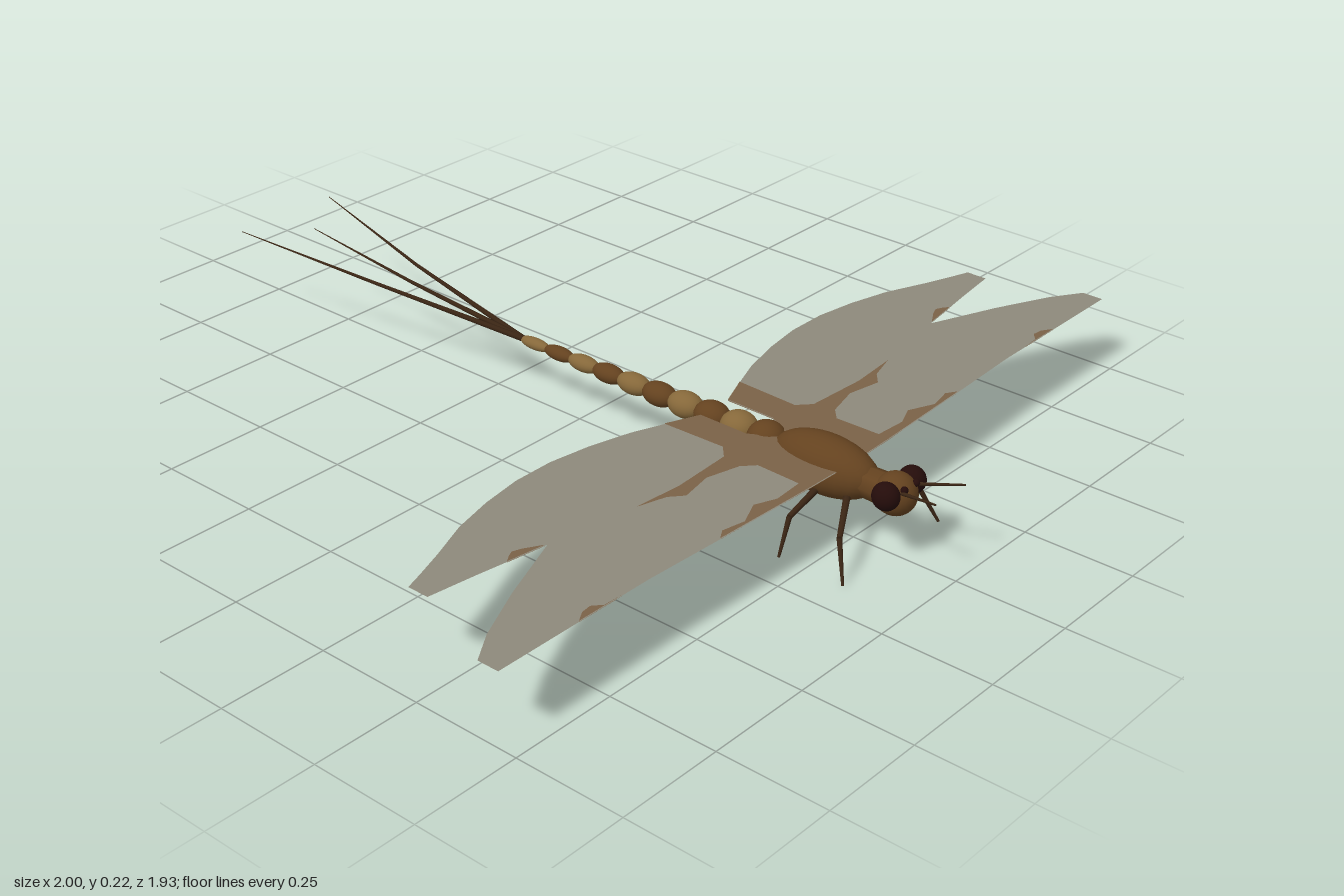
import * as THREE from 'three';

const mat = (name, color, side = THREE.FrontSide) => {
  const m = new THREE.MeshStandardMaterial({ color, side });
  m.name = name;
  return m;
};

export function createModel() {
  const model = new THREE.Group();
  model.name = 'mayfly';
  const brown = mat('body brown', 0x64421f);
  const tan = mat('abdomen tan', 0x86683a);
  const dark = mat('leg dark brown', 0x3a2514);
  const eyeMat = mat('eye dark red', 0x240c0a);
  const wingMat = mat('wing grey', 0x8d897b, THREE.DoubleSide);
  const patchMat = mat('wing patch brown', 0x7a6147, THREE.DoubleSide);
  const V = (x, y, z) => new THREE.Vector3(x, y, z);

  const add = (name, geo, m, parent = model) => {
    const mesh = new THREE.Mesh(geo, m);
    mesh.name = name;
    parent.add(mesh);
    return mesh;
  };
  const ball = (name, m, p, r) => {
    const mesh = add(name, new THREE.SphereGeometry(1, 24, 16), m);
    mesh.position.set(...p);
    mesh.scale.set(...r);
    return mesh;
  };
  // Tapered rod between two points
  const rod = (name, a, b, ra, rb, m = dark) => {
    const d = b.clone().sub(a);
    const mesh = add(name, new THREE.CylinderGeometry(rb, ra, d.length(), 8), m);
    mesh.position.copy(a).addScaledVector(d, 0.5);
    mesh.quaternion.setFromUnitVectors(V(0, 1, 0), d.normalize());
  };
  // Flat shape in the horizontal plane, points given as [x, z]
  const flat = (name, pts, y, m, s) => {
    const geo = new THREE.ShapeGeometry(new THREE.Shape(pts.map(([x, z]) => new THREE.Vector2(s * x, -z))));
    geo.rotateX(-Math.PI / 2);
    add(name, geo, m).position.y = y;
  };

  // Thorax, neck and head
  ball('thorax', brown, [0, 0.142, 0.672], [0.062, 0.064, 0.128]);
  rod('neck', V(0, 0.14, 0.76), V(0, 0.14, 0.84), 0.034, 0.036, brown);
  ball('head', brown, [0, 0.14, 0.845], [0.045, 0.046, 0.046]);

  // Bead-like abdomen, shrinking towards the tail
  for (let i = 0; i < 10; i++) {
    const r = 0.041 - i * 0.0029;
    ball('abdomenSegment', i % 2 ? tan : brown, [0, 0.146 - i * 0.0005, 0.52 - i * 0.0725], [r, r * 0.9, 0.043]);
  }

  // Tail filaments
  for (const s of [-1, 0, 1]) {
    const end = V(s * 0.14, s ? 0.215 : 0.206, s ? -0.955 : -0.855);
    const start = V(0, 0.142, -0.165);
    const mid = start.clone().lerp(end, 0.52).add(V(-s * 0.006, -0.006, 0));
    rod('tailFilament', start, mid, 0.007, 0.004);
    rod('tailFilamentTip', mid, end, 0.004, 0.0008);
  }

  const wing = [
    [0.0, 0.735], [0.25, 0.728], [0.6, 0.712], [1, 0.71], [1, 0.66], [0.93, 0.615], [0.8, 0.555], [0.635, 0.49],
    [0.8, 0.465], [0.915, 0.45], [0.915, 0.4], [0.87, 0.385], [0.8, 0.36], [0.7, 0.32], [0.6, 0.295], [0.5, 0.28],
    [0.4, 0.28], [0.3, 0.295], [0.2, 0.32], [0.12, 0.35], [0.045, 0.38], [0.045, 0.5], [0.0, 0.58],
  ];
  const patches = [
    [[0.0, 0.734], [0.13, 0.731], [0.4, 0.72], [0.375, 0.705], [0.32, 0.716], [0.26, 0.69], [0.21, 0.71], [0.135, 0.705],
      [0.132, 0.6], [0.16, 0.575], [0.24, 0.555], [0.32, 0.57], [0.35, 0.545], [0.42, 0.525], [0.3, 0.535],
      [0.15, 0.527], [0.12, 0.5], [0.125, 0.348], [0.045, 0.38], [0.045, 0.5], [0.0, 0.58]],
    [[0.67, 0.711], [0.72, 0.709], [0.74, 0.692], [0.765, 0.695], [0.79, 0.71]],
    [[0.64, 0.488], [0.68, 0.465], [0.7, 0.458], [0.715, 0.465], [0.73, 0.475]],
  ];

  for (const s of [-1, 1]) {
    // Wings with stains showing on both faces
    flat('wing', wing, 0.165, wingMat, s);
    for (const p of patches) for (const y of [0.1635, 0.1665]) flat('wingPatch', p, y, patchMat, s);

    // Eyes, ocelli and antennae
    ball('eye', eyeMat, [s * 0.045, 0.155, 0.852], [0.027, 0.03, 0.03]);
    ball('ocellus', eyeMat, [s * 0.02, 0.168, 0.878], [0.008, 0.008, 0.008]);
    rod('antenna', V(s * 0.025, 0.162, 0.875), V(s * 0.052, 0.186, 0.972), 0.004, 0.002);

    // Three legs: hip, knee and foot depths along the body
    for (const [hip, knee, foot] of [[0.75, 0.81, 0.845], [0.685, 0.686, 0.686], [0.6, 0.548, 0.522]]) {
      const k = V(s * 0.135, 0.082, knee);
      rod('thigh', V(s * 0.03, 0.112, hip), k, 0.008, 0.006);
      rod('shin', k, V(s * 0.165, 0.001, foot), 0.006, 0.003);
    }
  }
  return model;
}
